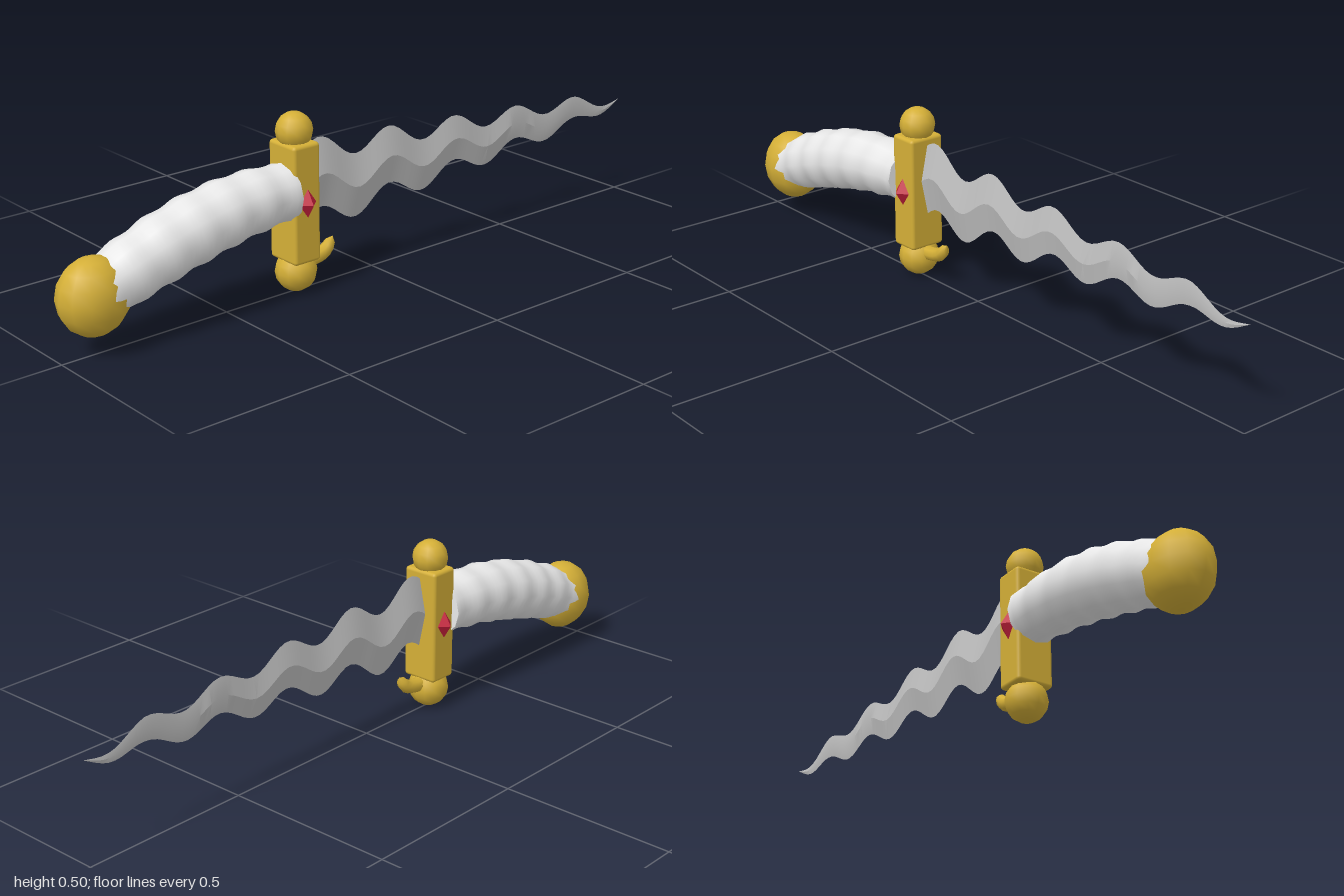
import * as THREE from 'three';
import { toCreasedNormals } from 'three/addons/utils/BufferGeometryUtils.js';
import { RoundedBoxGeometry } from 'three/addons/geometries/RoundedBoxGeometry.js';

const mat = (name, color) => {
  const m = new THREE.MeshStandardMaterial({ color });
  m.name = name;
  return m;
};

// Skin a list of elliptical sections { x, y, ry, rz, tilt } running along the xy plane
function loft(sections, sides) {
  const pos = [], index = [];
  for (const s of sections) {
    for (let j = 0; j < sides; j++) {
      const a = (j / sides) * Math.PI * 2;
      const u = s.ry * Math.cos(a);
      pos.push(s.x - u * Math.sin(s.tilt), s.y + u * Math.cos(s.tilt), s.rz * Math.sin(a));
    }
  }
  for (let i = 0; i < sections.length - 1; i++) {
    for (let j = 0; j < sides; j++) {
      const a = i * sides + j, b = i * sides + (j + 1) % sides;
      index.push(a, b, a + sides, b, b + sides, a + sides);
    }
  }
  const g = new THREE.BufferGeometry();
  g.setAttribute('position', new THREE.Float32BufferAttribute(pos, 3));
  g.setIndex(index);
  g.computeVertexNormals();
  return g;
}

// Sections along a smooth path, with radius(t) giving [ry, rz]
function along(points, steps, radius) {
  const curve = new THREE.CatmullRomCurve3(points.map(([x, y]) => new THREE.Vector3(x, y, 0)));
  const out = [];
  for (let i = 0; i <= steps; i++) {
    const t = i / steps, p = curve.getPointAt(t), d = curve.getTangentAt(t);
    const [ry, rz] = radius(t);
    out.push({ x: p.x, y: p.y, ry, rz, tilt: Math.atan2(d.y, d.x) });
  }
  return out;
}

// Close both ends with zero-size sections
const capped = (s) => [
  { ...s[0], ry: 0, rz: 0 }, ...s, { ...s[s.length - 1], ry: 0, rz: 0 },
];

export function createModel() {
  const group = new THREE.Group();
  const gold = mat('gold', 0xd4af37);
  const steel = mat('steel', 0xc0c0c0);
  const ivory = mat('pale grip', 0xe8e8e8);
  const ruby = mat('ruby', 0xc41e3a);

  const add = (name, geometry, material, x = 0, y = 0, z = 0) => {
    const m = new THREE.Mesh(geometry, material);
    m.name = name;
    m.position.set(x, y, z);
    group.add(m);
    return m;
  };

  // Wavy blade with a diamond cross-section, tapering to a point
  const blade = [];
  const steps = 64;
  for (let i = 0; i <= steps; i++) {
    const t = i / steps, x = -0.25 + 1.25 * t;
    const wave = (0.035 - 0.02 * t) * Math.cos(((x + 0.18) / 0.245) * Math.PI * 2);
    const half = x < 0.8
      ? THREE.MathUtils.mapLinear(x, -0.18, 0.8, 0.099, 0.033)
      : 0.033 * (1 - x) / 0.2;
    blade.push({ x, y: 0.285 + wave, ry: half, rz: 0.021 * (1 - t) + 0.001, tilt: 0 });
  }
  blade[steps].rz = 0;
  add('blade', toCreasedNormals(loft(blade, 4), 0.36), steel);

  // Curved, ribbed grip
  const gripPath = [[-0.89, 0.163], [-0.8, 0.197], [-0.65, 0.246], [-0.5, 0.279], [-0.39, 0.29], [-0.3, 0.292]];
  const grip = along(gripPath, 36, (t) => {
    const r = 0.077 + 0.013 * Math.sin(Math.PI * t) + 0.003 * Math.cos(t * 6 * Math.PI * 2);
    return [r, r];
  });
  add('grip', toCreasedNormals(loft(capped(grip), 12), 0.9), ivory);

  // Pommel
  add('pommel', new THREE.SphereGeometry(1, 12, 8), gold, -0.9, 0.158, 0).scale.set(0.1, 0.104, 0.084);

  // Cross guard with a ball at each end
  const gx = -0.267;
  add('guard', new RoundedBoxGeometry(0.088, 0.332, 0.11, 2, 0.01), gold, gx, 0.26, 0);
  add('upperBall', new THREE.SphereGeometry(0.051, 12, 8), gold, gx, 0.454, 0);
  add('lowerBall', new THREE.SphereGeometry(0.058, 12, 8), gold, gx, 0.06, 0);

  // Small upturned hook in front of the lower ball
  const hook = along([[-0.24, 0.078], [-0.2, 0.08], [-0.165, 0.092], [-0.139, 0.126]], 8, (t) => {
    const r = 0.021 * Math.sqrt(1 - t ** 4);
    return [r, r];
  });
  add('hook', loft(capped(hook), 8), gold);

  // Faceted gem on each broad side of the guard
  for (const side of [1, -1]) {
    const gem = add(side > 0 ? 'frontGem' : 'backGem', new THREE.OctahedronGeometry(1), ruby, gx, 0.264, side * 0.053);
    gem.scale.set(0.03, 0.043, 0.026);
  }

  return group;
}
